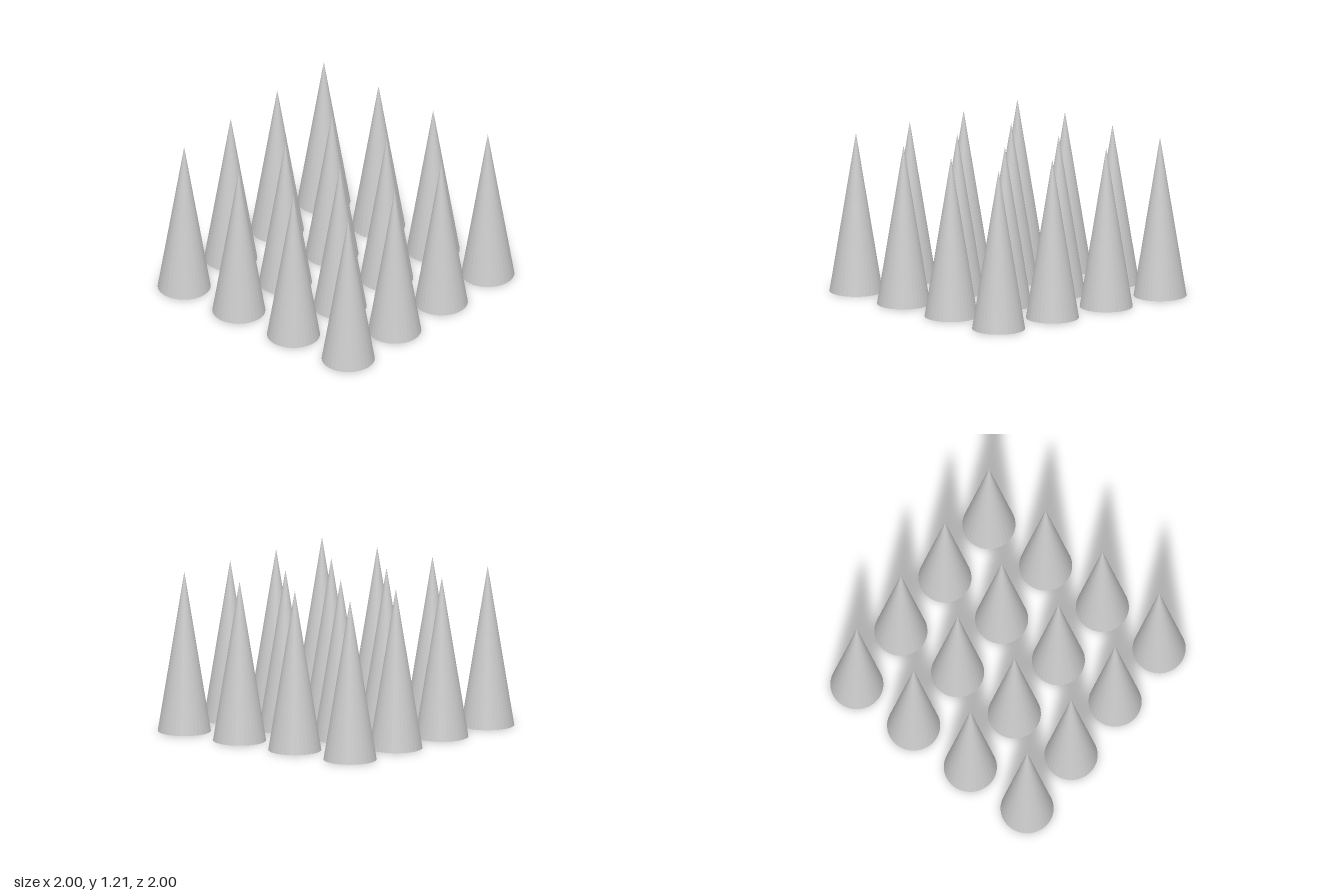
import * as THREE from 'three';

export function createModel() {
  const model = new THREE.Group();
  model.name = 'coneGrid';

  const count = 4, radius = 0.198, height = 1.21;
  const spacing = (2 - 2 * radius) / (count - 1);
  const material = new THREE.MeshStandardMaterial({ color: 0xcccccc, flatShading: true });

  // One closed cone standing on the ground, shared by the whole grid
  const geometry = new THREE.ConeGeometry(radius, height, 36);
  geometry.translate(0, height / 2, 0);

  // Four rows of four cones
  for (let row = 0; row < count; row++) {
    for (let col = 0; col < count; col++) {
      const cone = new THREE.Mesh(geometry, material);
      cone.name = `coneRow${row + 1}Column${col + 1}`;
      cone.position.set(
        (col - (count - 1) / 2) * spacing,
        0,
        (row - (count - 1) / 2) * spacing
      );
      model.add(cone);
    }
  }
  return model;
}
